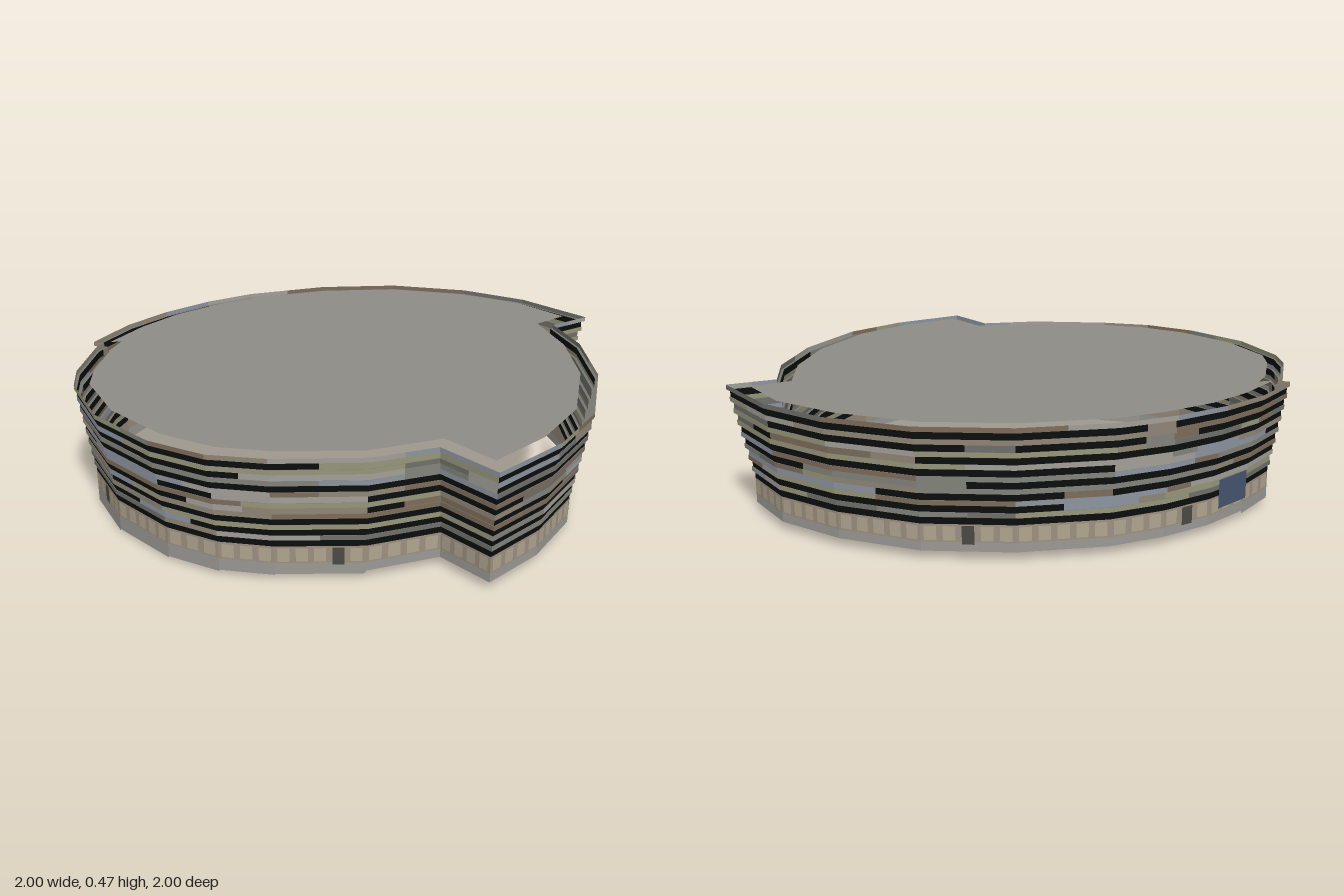
import * as THREE from 'three';

// Plan corners, counter-clockwise from above: [top x, top z, base x, base z]
const PLAN = [
  [0.76, 0.87, 0.735, 0.785], [0.92, 0.59, 0.86, 0.56], [1, 0.31, 0.935, 0.29],
  [0.98, -0.07, 0.915, -0.065], [0.88, -0.4, 0.82, -0.375], [0.75, -0.61, 0.685, -0.61],
  [0.87, -0.755, 0.775, -0.74], [0.58, -0.93, 0.56, -0.88], [0.3, -1, 0.29, -0.937],
  [-0.03, -0.985, -0.02, -0.925], [-0.34, -0.87, -0.315, -0.815], [-0.62, -0.675, -0.58, -0.635],
  [-0.765, -0.51, -0.715, -0.48], [-0.88, -0.32, -0.825, -0.3], [-0.96, -0.12, -0.895, -0.11],
  [-1, 0.12, -0.937, 0.105], [-0.955, 0.12, -0.895, 0.08], [-0.96, 0.18, -0.895, 0.18],
  [-0.91, 0.435, -0.85, 0.41], [-0.85, 0.57, -0.8, 0.545], [-0.65, 0.8, -0.61, 0.75],
  [-0.385, 0.95, -0.36, 0.89], [-0.165, 1, -0.155, 0.935], [0.04, 0.975, 0.035, 0.915],
  [0.35, 0.875, 0.325, 0.825], [0.545, 0.735, 0.545, 0.665],
];
const N = PLAN.length;
const FLOORS = 8, WALL_BOTTOM = 0.125, WALL_TOP = 0.472, BASE_SPLIT = 0.062;
const PLINTH_BOTTOM = { 14: 0.02, 15: 0.02, 16: 0.02, 17: 0.01, 18: 0.003, 19: 0, 20: 0.007, 21: 0.012, 22: 0.017, 23: 0.02 };
const PANELS = [0x8f8676, 0x83837c, 0x96957a, 0x8d94a0, 0x7d6c5a, 0xa29f98, 0x6f6f6a];
const BLACK = 0x0b0e0d;

let seed = 7;
const rand = () => (seed = (seed * 16807) % 2147483647) / 2147483647;
const pick = (list) => list[Math.floor(rand() * list.length)];

// Point on edge e at fraction s, lean t (0 = base outline, 1 = top outline), pushed outward by 'out'
function at(e, s, t, y, out = 0) {
  const corner = (p) => new THREE.Vector3(p[2] + (p[0] - p[2]) * t, y, p[3] + (p[1] - p[3]) * t);
  const a = corner(PLAN[e]), b = corner(PLAN[(e + 1) % N]);
  const n = b.clone().sub(a).normalize();
  return a.lerp(b, s).add(new THREE.Vector3(-n.z, 0, n.x).multiplyScalar(out));
}

// Collects flat quads by colour and turns them into meshes
class Quads {
  constructor() { this.byColor = new Map(); }
  add(color, a, b, c, d) {
    if (!this.byColor.has(color)) this.byColor.set(color, []);
    for (const p of [a, b, c, a, c, d]) this.byColor.get(color).push(p.x, p.y, p.z);
  }
  // Upright panel on an edge from s0 to s1
  wall(color, e, s0, s1, t, y0, y1, out = 0) {
    this.add(color, at(e, s0, t, y0, out), at(e, s1, t, y0, out), at(e, s1, t, y1, out), at(e, s0, t, y1, out));
  }
  // Level ledge between two leans
  ledge(color, e, t0, t1, y) {
    this.add(color, at(e, 0, t0, y), at(e, 1, t0, y), at(e, 1, t1, y), at(e, 0, t1, y));
  }
  group(name) {
    const group = new THREE.Group();
    group.name = name;
    for (const [color, points] of this.byColor) {
      const geometry = new THREE.BufferGeometry();
      geometry.setAttribute('position', new THREE.Float32BufferAttribute(points, 3));
      geometry.computeVertexNormals();
      const mesh = new THREE.Mesh(geometry, material(color));
      mesh.name = name + 'Panel';
      group.add(mesh);
    }
    return group;
  }
}

function material(color) {
  return new THREE.MeshStandardMaterial({ color, side: THREE.DoubleSide });
}

// Ground floor: stepped grey plinth, beige wall, pale windows, dark doors
function groundFloor() {
  const q = new Quads();
  const doors = { 4: 0.3, 9: 0.5, 12: 0.4, 19: 0.5, 23: 0.62 };
  for (let e = 0; e < N; e++) {
    q.wall(0x9b9994, e, 0, 1, 0, PLINTH_BOTTOM[e] ?? 0.03, BASE_SPLIT);
    q.wall(0x9c9080, e, 0, 1, 0, BASE_SPLIT, WALL_BOTTOM);
    const length = at(e, 0, 0, 0).distanceTo(at(e, 1, 0, 0));
    const count = Math.floor(length / 0.055);
    const doorSlot = e in doors ? Math.floor(doors[e] * count) : -1;
    for (let i = 0; i < count; i++) {
      const s0 = (i + 0.17) / count, s1 = (i + 0.83) / count;
      if (i === doorSlot) q.wall(0x4b4943, e, s0, s1, 0, 0.055, 0.12, 0.002);
      else q.wall(0xb0a48f, e, s0, s1, 0, 0.068, 0.118, 0.002);
    }
  }
  return q.group('groundFloor');
}

// Upper floors: each has a dark window strip with coloured infills under a projecting spandrel
function upperFloors() {
  const q = new Quads();
  const pitch = (WALL_TOP - WALL_BOTTOM) / FLOORS;
  for (let f = 0; f < FLOORS; f++) {
    const y0 = WALL_BOTTOM + f * pitch, y1 = y0 + pitch * 0.6, y2 = y0 + pitch;
    const below = f / FLOORS, strip = Math.max(0, below - 0.04), spandrel = (f + 1) / FLOORS;
    let stripColor = BLACK, spandrelColor = pick(PANELS);
    for (let e = 0; e < N; e++) {
      for (let h = 0; h < 2; h++) {
        if (rand() < 0.4) stripColor = f === 0 || rand() < 0.62 ? BLACK : pick(PANELS);
        if (rand() < 0.4) spandrelColor = pick(PANELS);
        q.wall(stripColor, e, h / 2, h / 2 + 0.5, strip, y0, y1);
        q.wall(spandrelColor, e, h / 2, h / 2 + 0.5, spandrel, y1, y2);
      }
      q.ledge(0x77766f, e, strip, spandrel, y1);
      if (f > 0) q.ledge(0x77766f, e, strip, below, y0);
    }
  }
  return q.group('upperFloors');
}

// Flat roof, set in from the wall top
function roof() {
  const shape = new THREE.Shape(PLAN.map((p) => new THREE.Vector2(p[2], -p[3])));
  const geometry = new THREE.ShapeGeometry(shape).rotateX(-Math.PI / 2).translate(0, WALL_TOP, 0);
  const mesh = new THREE.Mesh(geometry, material(0x8e8c85));
  mesh.name = 'roof';
  return mesh;
}

// Blue panel above the side entrance
function entrancePanel() {
  const q = new Quads();
  q.wall(0x44546f, 13, 0.1, 0.9, 0.3, 0.09, 0.195, 0.006);
  return q.group('entrancePanel');
}

export function createModel() {
  seed = 7;
  const model = new THREE.Group();
  model.name = 'roundBuilding';
  model.add(groundFloor(), upperFloors(), roof(), entrancePanel());
  return model;
}
